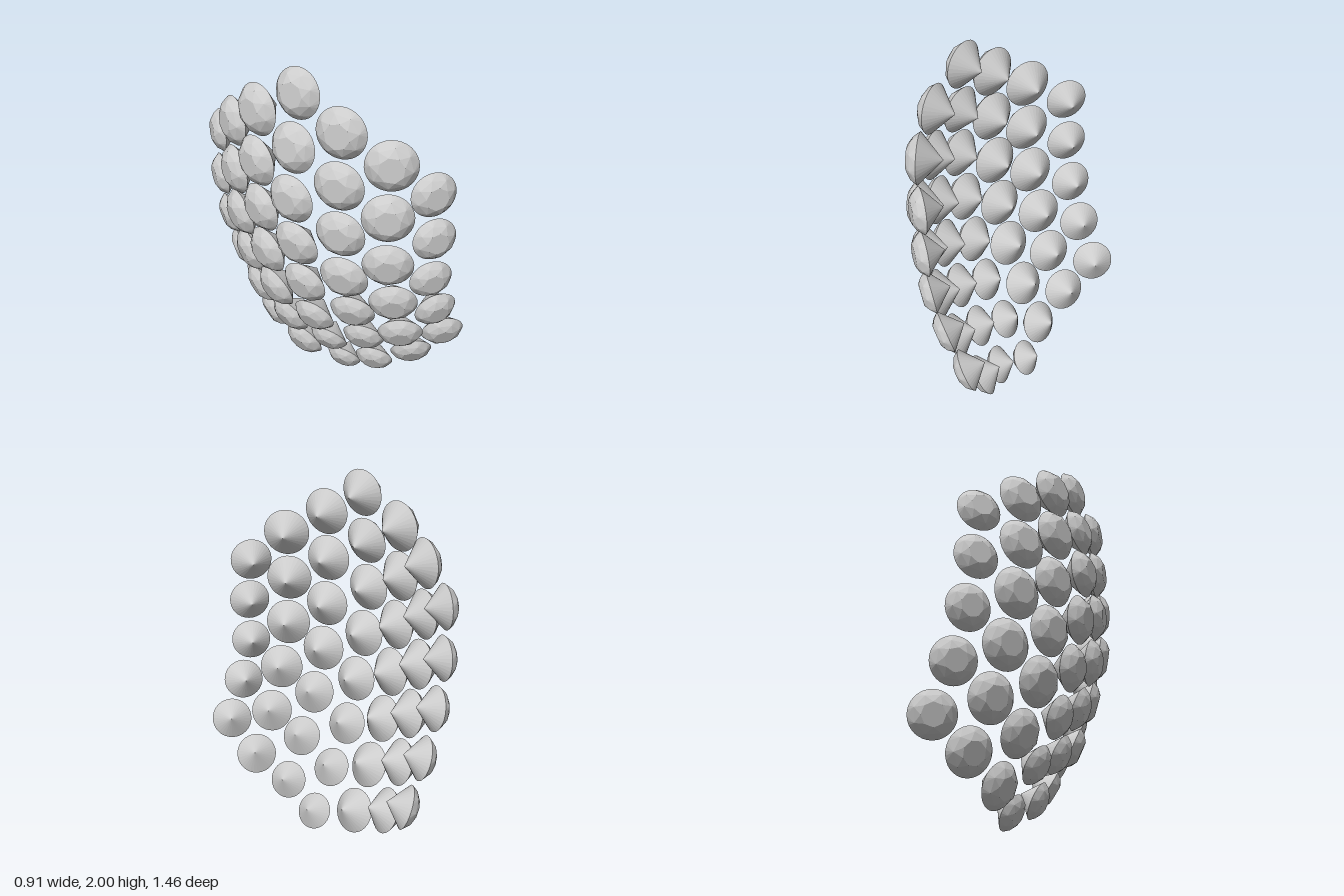
import * as THREE from 'three';
import { ConvexGeometry } from 'three/addons/geometries/ConvexGeometry.js';

const V = (x, y, z) => new THREE.Vector3(x, y, z);

// Columns of the curved hexagonal patch, front to back: gem count, diameters at
// top / middle / bottom, and guide points through the girdle centres, top to bottom
const columns = [
  { count: 5, size: [0.235, 0.225, 0.23], path: [[0.14, 1.44, 0.66], [0.155, 1.17, 0.67], [0.165, 0.93, 0.65], [0.235, 0.72, 0.62], [0.34, 0.51, 0.57]] },
  { count: 6, size: [0.26, 0.26, 0.23], path: [[-0.04, 1.6, 0.56], [-0.055, 1.32, 0.565], [-0.04, 1.05, 0.56], [0.115, 0.54, 0.49], [0.255, 0.32, 0.42]] },
  { count: 7, size: [0.26, 0.26, 0.215], path: [[-0.2, 1.74, 0.38], [-0.215, 1.46, 0.385], [-0.17, 0.92, 0.37], [-0.09, 0.665, 0.34], [0.135, 0.2, 0.24]] },
  { count: 8, size: [0.255, 0.265, 0.205], path: [[-0.29, 1.88, 0.15], [-0.345, 1.34, 0.16], [-0.26, 0.8, 0.14], [-0.18, 0.535, 0.11], [0.08, 0.09, 0.02]] },
  { count: 7, size: [0.27, 0.27, 0.25], path: [[-0.38, 1.74, -0.08], [-0.395, 1.46, -0.08], [-0.345, 0.91, -0.09], [-0.29, 0.66, -0.11], [-0.07, 0.16, -0.18]] },
  { count: 6, size: [0.265, 0.27, 0.25], path: [[-0.39, 1.6, -0.31], [-0.395, 1.32, -0.31], [-0.37, 1.05, -0.32], [-0.235, 0.51, -0.37], [-0.13, 0.27, -0.41]] },
  { count: 5, size: [0.235, 0.24, 0.24], path: [[-0.35, 1.45, -0.55], [-0.35, 1.19, -0.56], [-0.31, 0.92, -0.57], [-0.23, 0.65, -0.59], [-0.12, 0.41, -0.62]] },
];

// Unit brilliant cut: round girdle, faceted crown up (+y), pointed pavilion down
function gemGeometry() {
  const points = [V(0, -0.9, 0)];
  const ring = (n, r, y, turn = 0) => {
    for (let i = 0; i < n; i++) {
      const a = ((i + turn) / n) * Math.PI * 2;
      points.push(V(r * Math.cos(a), y, r * Math.sin(a)));
    }
  };
  ring(32, 1, 0);
  ring(8, 0.8, 0.28);
  ring(8, 0.5, 0.45, 0.5);
  return new ConvexGeometry(points);
}

export function createModel() {
  const model = new THREE.Group();
  model.name = 'gemShell';
  const geometry = gemGeometry();
  const material = new THREE.MeshStandardMaterial({ color: 0xcccccc, flatShading: true });
  const curves = columns.map((c) => new THREE.CatmullRomCurve3(c.path.map((p) => V(...p))));

  // Direction along the shell from front to back at column c
  const across = (c, u) => {
    const step = (k) => curves[k + 1].getPointAt(u).sub(curves[k].getPointAt(u));
    const last = curves.length - 1;
    if (c === 0) return step(0).multiplyScalar(1.5).addScaledVector(step(1), -0.5);
    if (c === last) return step(last - 1).multiplyScalar(1.5).addScaledVector(step(last - 2), -0.5);
    return step(c - 1).add(step(c));
  };

  columns.forEach(({ count, size }, c) => {
    const column = new THREE.Group();
    column.name = `gemColumn${c + 1}`;
    for (let i = 0; i < count; i++) {
      const u = i / (count - 1);
      const half = u < 0.5 ? 0 : 1;
      const diameter = THREE.MathUtils.lerp(size[half], size[half + 1], u * 2 - half);
      // Crown faces out of the shell, point faces into the hollow
      const normal = across(c, u).cross(curves[c].getTangentAt(u)).normalize();
      const gem = new THREE.Mesh(geometry, material);
      gem.name = `gem${i + 1}`;
      gem.position.copy(curves[c].getPointAt(u));
      gem.quaternion.setFromUnitVectors(V(0, 1, 0), normal);
      gem.scale.setScalar(diameter / 2);
      column.add(gem);
    }
    model.add(column);
  });
  return model;
}
